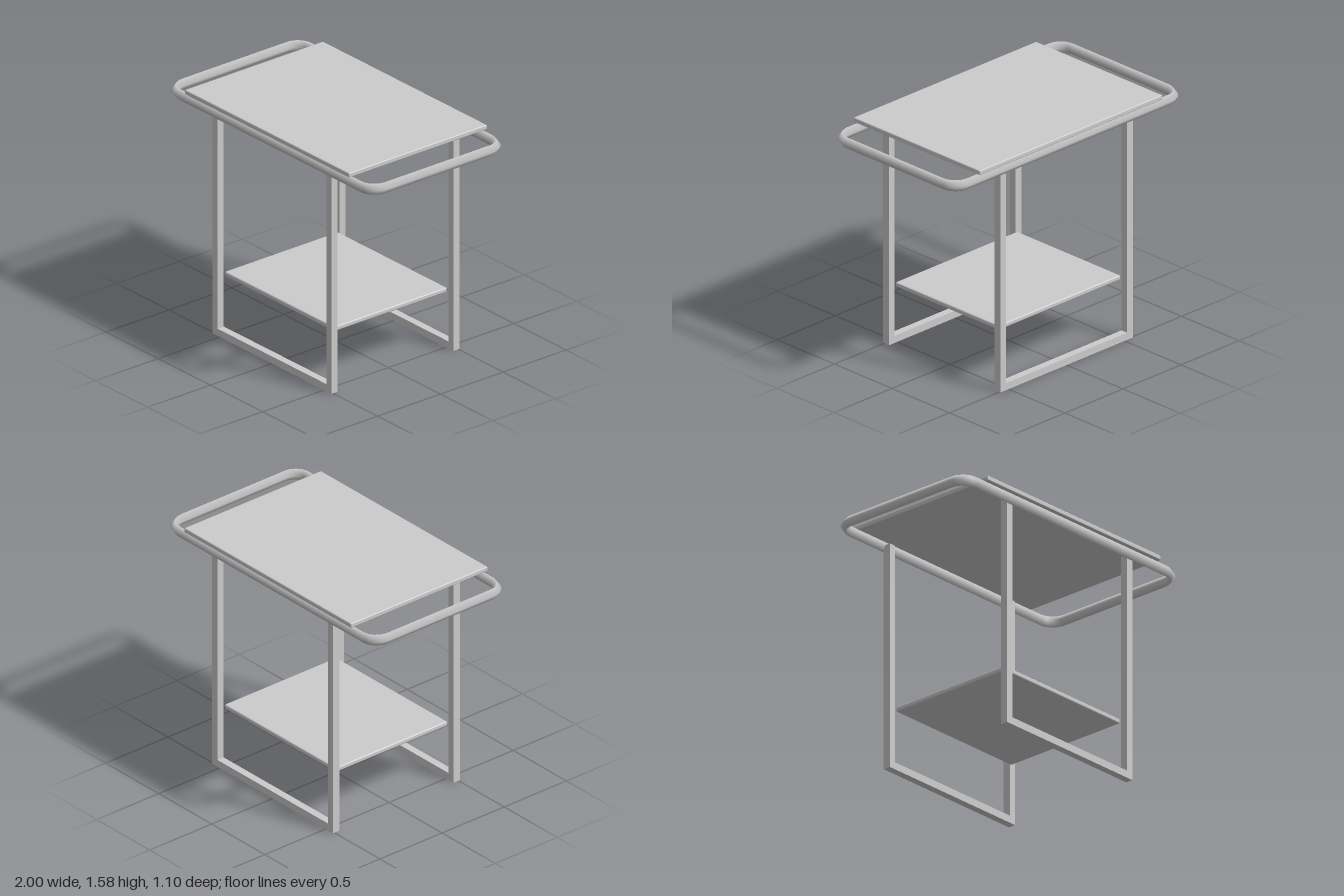
import * as THREE from 'three';
import { RoundedBoxGeometry } from 'three/addons/geometries/RoundedBoxGeometry.js';

const material = new THREE.MeshStandardMaterial({ color: 0xcccccc });

function addMesh(parent, name, geometry, x = 0, y = 0, z = 0) {
  const mesh = new THREE.Mesh(geometry, material);
  mesh.name = name;
  mesh.position.set(x, y, z);
  parent.add(mesh);
  return mesh;
}

// Closed horizontal loop: straight runs joined by rounded corners
function railPath(hx, hz, r) {
  const path = new THREE.CurvePath();
  const p = (x, z) => new THREE.Vector3(x, 0, z);
  const k = r * 0.5523;
  const corners = [[1, 1], [-1, 1], [-1, -1], [1, -1]];
  let previous = p(hx, -hz + r);
  corners.forEach(([sx, sz]) => {
    const onX = p(sx * hx, sz * (hz - r)), onZ = p(sx * (hx - r), sz * hz);
    const onXc = p(sx * hx, sz * (hz - r + k)), onZc = p(sx * (hx - r + k), sz * hz);
    const bend = sx * sz > 0 ? [onX, onXc, onZc, onZ] : [onZ, onZc, onXc, onX];
    path.add(new THREE.LineCurve3(previous, bend[0]));
    path.add(new THREE.CubicBezierCurve3(...bend));
    previous = bend[3];
  });
  return path;
}

export function createModel() {
  const group = new THREE.Group();
  group.name = 'servingTable';

  // Top board and lower shelf with softened edges
  addMesh(group, 'topBoard', new RoundedBoxGeometry(1.574, 0.032, 1.1, 2, 0.007), 0, 1.563, 0);
  addMesh(group, 'lowerShelf', new RoundedBoxGeometry(1.05, 0.032, 0.9, 2, 0.009), 0, 0.4, 0);

  // Handle rail, four-sided section standing on its point
  const rail = new THREE.TubeGeometry(railPath(0.9725, 0.5225, 0.105), 240, 0.0275, 4, true);
  rail.scale(1, 1.36, 1);
  addMesh(group, 'handleRail', rail, 0, 1.51, 0);

  // U-shaped leg frames, front and back
  const outer = 0.57, inner = 0.522, bar = 0.048, top = 1.51, depth = 0.05;
  const outline = new THREE.Shape([
    [-outer, 0], [outer, 0], [outer, top], [inner, top],
    [inner, bar], [-inner, bar], [-inner, top], [-outer, top],
  ].map(([x, y]) => new THREE.Vector2(x, y)));
  const frame = new THREE.ExtrudeGeometry(outline, { depth, bevelEnabled: false });
  frame.translate(0, 0, -depth / 2);
  addMesh(group, 'frontLegFrame', frame, 0, 0, 0.485);
  addMesh(group, 'backLegFrame', frame, 0, 0, -0.485);

  return group;
}
